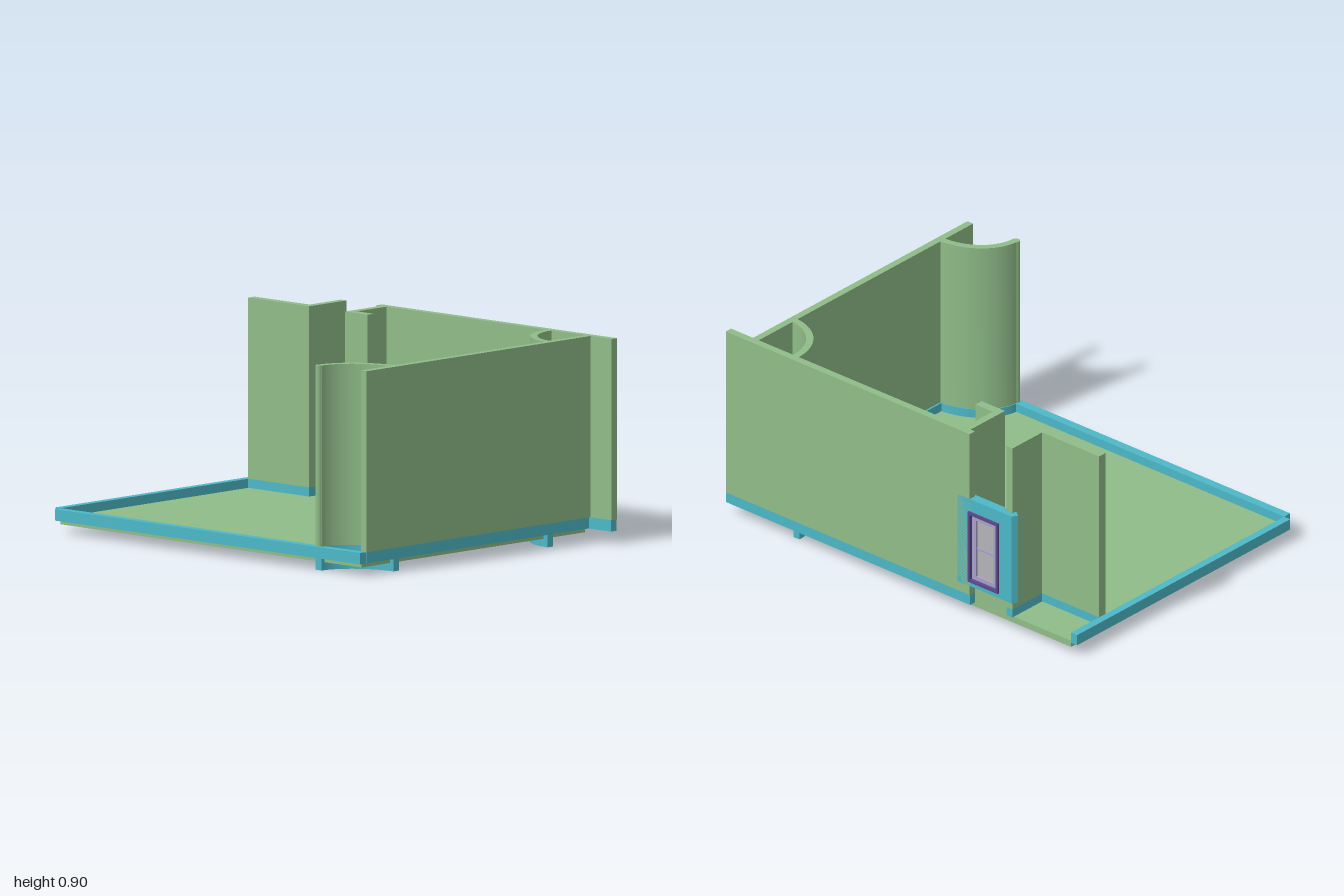
import * as THREE from 'three';
import { toCreasedNormals } from 'three/addons/utils/BufferGeometryUtils.js';

export function createModel() {
  const model = new THREE.Group();
  model.name = 'roomWithDoor';
  const mat = (color) => new THREE.MeshStandardMaterial({ color, side: THREE.DoubleSide });
  const green = mat(0x8fbc88), blue = mat(0x4db8c8), purple = mat(0x5b4a8a);
  const lavender = mat(0xa9a0c8), glass = mat(0xb4b4b8);

  const add = (name, geometry, material) => {
    const mesh = new THREE.Mesh(geometry, material);
    mesh.name = name;
    model.add(mesh);
  };
  // Box given by its limits on each axis
  const box = (name, material, x0, x1, y0, y1, z0, z1) => {
    const g = new THREE.BoxGeometry(x1 - x0, y1 - y0, z1 - z0);
    g.translate((x0 + x1) / 2, (y0 + y1) / 2, (z0 + z1) / 2);
    add(name, g, material);
  };
  // Plan outline (drawn in x, -z) raised from y0 to y1
  const slab = (name, material, shape, y0, y1) => {
    let g = new THREE.ExtrudeGeometry(shape, { depth: y1 - y0, bevelEnabled: false, curveSegments: 24 });
    g.rotateX(-Math.PI / 2).translate(0, y0, 0);
    g = toCreasedNormals(g, 0.5);
    add(name, g, material);
  };

  const FLOOR = 0.065, BASE = 0.055, SILL = 0.105, TOP = 0.9;

  // Floor
  box('floor', green, -0.965, 0.84, 0.035, FLOOR, -0.7, 0.705);

  // Skirting round the edge
  box('leftSkirting', blue, -1, -0.965, BASE, SILL, -0.7, 0.7);
  box('frontSkirting', blue, -0.965, 0.865, BASE, SILL, 0.7, 0.74);
  box('rightSkirting', blue, 0.832, 0.867, BASE, SILL, -0.7, 0.7);
  box('backSkirting', blue, -0.41, 1, BASE, SILL, -0.732, -0.697);

  // Outer walls
  box('rightWall', green, 0.84, 0.873, SILL, TOP, -0.7, 0.708);
  box('backWall', green, -0.41, 1, SILL, TOP, -0.735, -0.7);

  // Entrance partitions, each on its own skirting
  const partitions = [
    ['leftPartition', -0.965, -0.6, -0.515, -0.475],
    ['leftReturn', -0.635, -0.6, -0.71, -0.515],
    ['rightReturn', -0.385, -0.35, -0.7, -0.515],
    ['rightPartition', -0.385, -0.25, -0.515, -0.475],
  ];
  for (const [name, x0, x1, z0, z1] of partitions) {
    box(name, green, x0, x1, SILL, TOP, z0, z1);
    box(name + 'Skirting', blue, x0, x1, FLOOR, SILL, z0, z1);
  }

  // Curved corner walls on blue footings that pass through the floor
  const arcBand = (cx, cz, rx, rz, t, a0, a1) => {
    const s = new THREE.Shape();
    s.absellipse(cx, -cz, rx, rz, a0, a1, false);
    s.absellipse(cx, -cz, rx - t, rz - t, a1, a0, true);
    s.closePath();
    return s;
  };
  const corners = [
    ['backCurve', 0.865, -0.7, 0.26, 0.26, Math.PI, Math.PI * 1.5],
    ['frontCurve', 0.86, 0.722, 0.277, 0.233, Math.PI / 2, Math.PI],
  ];
  for (const [name, cx, cz, rx, rz, a0, a1] of corners) {
    slab(name + 'Wall', green, arcBand(cx, cz, rx - 0.004, rz - 0.004, 0.032, a0, a1), SILL, TOP);
    slab(name + 'Footing', blue, arcBand(cx, cz, rx, rz, 0.035, a0, a1), 0, SILL);
  }
  // Rounded free end of the front curve
  const end = new THREE.CylinderGeometry(0.016, 0.016, TOP - SILL, 16);
  end.translate(0.599, (TOP + SILL) / 2, 0.718);
  add('frontCurveEnd', end, green);

  // Steps up to the door
  const treads = [-0.515, -0.565, -0.618, -0.67];
  treads.forEach((z, i) => {
    box('step' + (i + 1), green, -0.6, -0.385, FLOOR - 0.01, 0.095 + i * 0.027, -0.7, z);
  });

  // Door surround with pointed ends: two jambs, a sill and a lintel
  const D = { x0: -0.58, x1: -0.405, y0: 0.175, y1: 0.52 };
  const jamb = (inner, side) => {
    const tip = side < 0 ? -0.667 : -0.325;
    const pts = [[inner, 0.69], [tip - side * 0.025, 0.69], [tip, 0.71],
      [tip - side * 0.015, 0.735], [inner, 0.735]];
    return new THREE.Shape(pts.map(([x, y]) => new THREE.Vector2(x, y)));
  };
  slab('leftJamb', blue, jamb(D.x0, -1), 0.15, 0.58);
  slab('rightJamb', blue, jamb(D.x1, 1), 0.15, 0.58);
  box('lintel', blue, D.x0, D.x1, D.y1, 0.58, -0.735, -0.69);
  box('doorSill', blue, D.x0, D.x1, 0.15, D.y0, -0.735, -0.69);

  // Rectangular ring facing the front
  const ring = (name, material, x0, x1, y0, y1, t, z0, z1) => {
    const rect = (P, a, b, c, d) => new P([[a, c], [b, c], [b, d], [a, d]].map(([x, y]) => new THREE.Vector2(x, y)));
    const s = rect(THREE.Shape, x0, x1, y0, y1);
    s.holes.push(rect(THREE.Path, x0 + t, x1 - t, y0 + t, y1 - t));
    const g = new THREE.ExtrudeGeometry(s, { depth: z1 - z0, bevelEnabled: false });
    g.translate(0, 0, z0);
    add(name, g, material);
  };
  // Door frame, leaf and pane
  ring('doorFrame', purple, D.x0, D.x1, D.y0, D.y1, 0.013, -0.745, -0.68);
  ring('doorLeaf', lavender, -0.567, -0.418, 0.182, 0.507, 0.025, -0.73, -0.7);
  box('doorGlass', glass, -0.545, -0.44, 0.2, 0.49, -0.72, -0.71);
  box('doorRail', lavender, -0.545, -0.44, 0.336, 0.346, -0.725, -0.705);

  return model;
}
